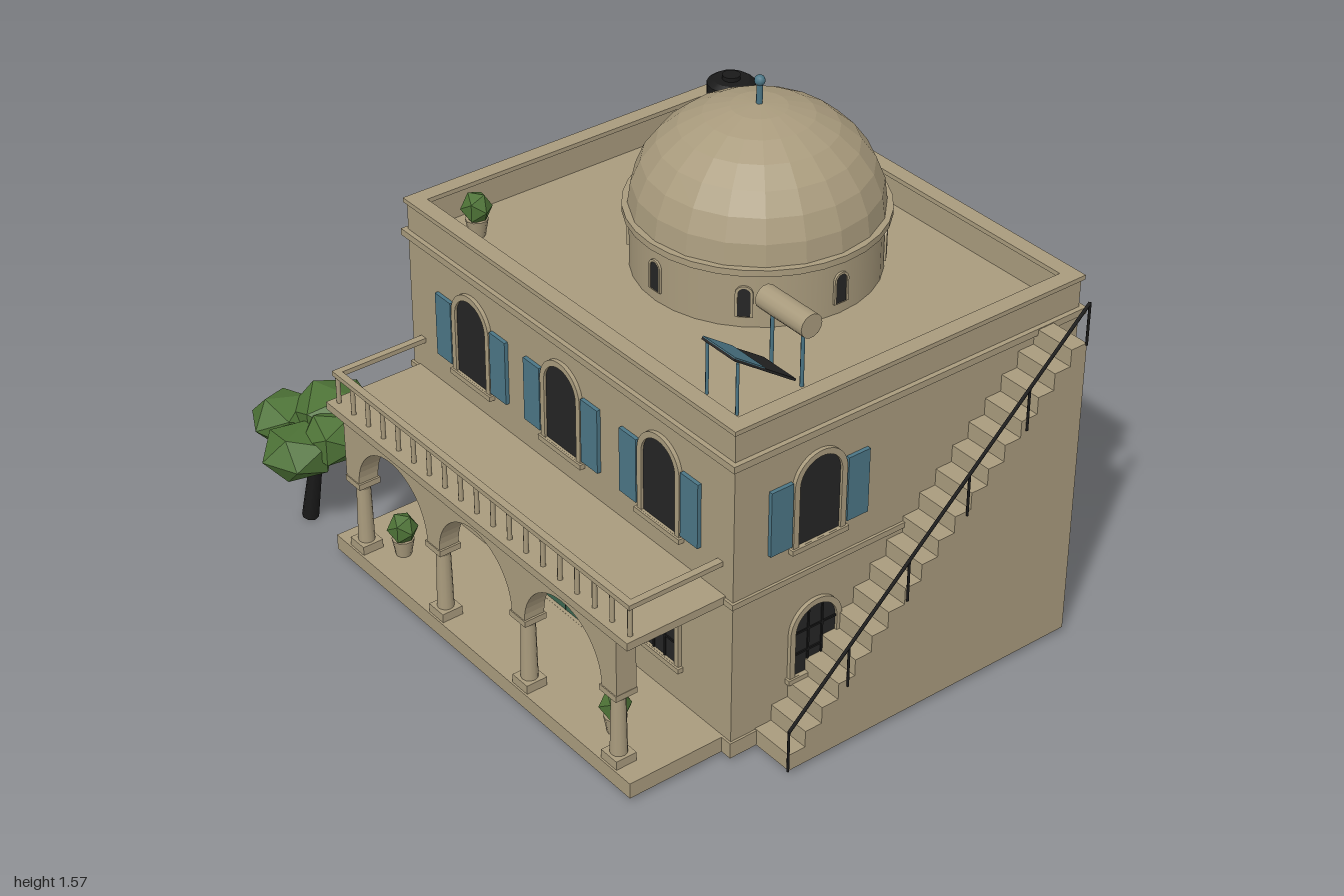
import * as THREE from 'three';

const mat = (name, color) => Object.assign(new THREE.MeshStandardMaterial({ color }), { name });
const stone = mat('sandstone', 0xa99b7d);
const teal = mat('teal paint', 0x4b7686);
const green = mat('door green', 0x3a6650);
const leaf = mat('foliage', 0x4d7236);
const glass = mat('dark glass', 0x252525);
const iron = mat('black iron', 0x191919);

function add(parent, name, geo, material, x = 0, y = 0, z = 0) {
  const m = new THREE.Mesh(geo, material);
  m.name = name;
  m.position.set(x, y, z);
  parent.add(m);
  return m;
}
// box given by its minimum and maximum corners
function box(parent, name, material, x0, x1, y0, y1, z0, z1) {
  return add(parent, name, new THREE.BoxGeometry(x1 - x0, y1 - y0, z1 - z0), material,
    (x0 + x1) / 2, (y0 + y1) / 2, (z0 + z1) / 2);
}
function cyl(parent, name, material, r0, r1, y0, y1, x, z, sides = 12) {
  return add(parent, name, new THREE.CylinderGeometry(r1, r0, y1 - y0, sides), material, x, (y0 + y1) / 2, z);
}
// rod between two points
function rod(parent, name, material, a, b, r0, r1 = r0, sides = 6) {
  const p = new THREE.Vector3(...a), q = new THREE.Vector3(...b);
  const m = add(parent, name, new THREE.CylinderGeometry(r1, r0, p.distanceTo(q), sides), material);
  m.position.copy(p).add(q).multiplyScalar(0.5);
  m.quaternion.setFromUnitVectors(new THREE.Vector3(0, 1, 0), q.sub(p).normalize());
  return m;
}
// round-topped outline standing on y = y0
function archPath(Type, w, h, y0 = 0) {
  const s = new Type(), r = w / 2;
  s.moveTo(-r, y0);
  s.lineTo(r, y0);
  s.lineTo(r, h - r);
  s.absarc(0, h - r, r, 0, Math.PI, false);
  s.lineTo(-r, y0);
  return s;
}
const extrude = (shape, depth) =>
  new THREE.ExtrudeGeometry(shape, { depth, bevelEnabled: false, curveSegments: 12 });

// arched opening: pane, raised surround, optional sill, bars and shutters; faces local +z
function opening(parent, name, x, y, z, turn, w, h, o = {}) {
  const g = new THREE.Group();
  g.name = name;
  g.position.set(x, y, z);
  g.rotation.y = turn;
  parent.add(g);
  const t = o.frame ?? 0.018, d = o.depth ?? 0.012;
  add(g, 'pane', extrude(archPath(THREE.Shape, w, h), 0.004), o.material ?? glass);
  const ring = archPath(THREE.Shape, w + 2 * t, h + t);
  ring.holes.push(archPath(THREE.Path, w, h, 0.0005));
  add(g, 'surround', extrude(ring, d), stone);
  if (o.sill) box(g, 'sill', stone, -w / 2 - 0.025, w / 2 + 0.025, -0.016, 0, 0, 0.018);
  if (o.bars) {
    for (const bx of [-w / 6, w / 6]) box(g, 'bar', iron, bx - 0.003, bx + 0.003, 0, h - 0.012, 0, 0.008);
    for (const f of [0.33, 0.66]) box(g, 'bar', iron, -w / 2, w / 2, h * f - 0.003, h * f + 0.003, 0, 0.008);
  }
  if (o.shutters) for (const s of [-1, 1])
    box(g, 'shutter', teal, s * 0.132 - 0.037, s * 0.132 + 0.037, 0.01, 0.215, 0, 0.012);
  return g;
}

function blob(parent, name, x, y, z, sx, sy, sz, turn = 0) {
  const m = add(parent, name, new THREE.IcosahedronGeometry(1, 0), leaf, x, y, z);
  m.scale.set(sx, sy, sz);
  m.rotation.set(0, turn, 0);
}

function pottedPlant(parent, x, y, z) {
  const g = new THREE.Group();
  g.name = 'pottedPlant';
  g.position.set(x, y, z);
  parent.add(g);
  cyl(g, 'pot', stone, 0.024, 0.034, 0, 0.055, 0, 0, 10);
  blob(g, 'bush', 0, 0.09, 0, 0.047, 0.052, 0.047, 0.6);
}

export function createModel() {
  const house = new THREE.Group();
  house.name = 'house';
  const X0 = -0.635, X1 = 0.84, Z0 = -0.82, Z1 = 0.395, MID = 0.1;
  const band = (name, e, y0, y1) => box(house, name, stone, X0 - e, X1 + e, y0, y1, Z0 - e, Z1 + e);

  // main block with its horizontal bands
  band('walls', 0, 0.01, 0.98);
  band('plinth', 0.007, 0.01, 0.06);
  band('stringCourse', 0.008, 0.512, 0.53);
  band('cornice', 0.015, 0.957, 0.978);

  // hollow parapet and its cap
  const parapet = (name, e, inset, y0, y1) => {
    const rect = (Type, d) => new Type([[X0 - d, -Z1 - d], [X1 + d, -Z1 - d], [X1 + d, -Z0 + d], [X0 - d, -Z0 + d]]
      .map(p => new THREE.Vector2(...p)));
    const s = rect(THREE.Shape, e);
    s.holes.push(rect(THREE.Path, -inset));
    add(house, name, extrude(s, y1 - y0), stone, 0, y0, 0).rotation.x = -Math.PI / 2;
  };
  parapet('parapet', 0, 0.035, 0.978, 1.066);
  parapet('parapetCap', 0.008, 0.042, 1.066, 1.08);

  // windows on all sides
  const low = { sill: true, bars: true }, up = { sill: true, shutters: true };
  const pair = (x, z, turn) => {
    opening(house, 'lowerWindow', x, 0.185, z, turn, 0.145, 0.215, low);
    opening(house, 'upperWindow', x, 0.622, z, turn, 0.145, 0.263, up);
  };
  for (const x of [-0.325, 0.535]) pair(x, Z1, 0);
  opening(house, 'upperWindow', MID, 0.622, Z1, 0, 0.145, 0.263, up);
  for (const x of [-0.305, MID, 0.505]) pair(x, Z0, Math.PI);
  for (const z of [-0.53, 0.11]) pair(X0, z, -Math.PI / 2);
  pair(X1, 0.11, Math.PI / 2);

  // front door and wall lamp
  const door = opening(house, 'door', MID, 0.06, Z1, 0, 0.205, 0.297, { material: green, frame: 0.02, depth: 0.015 });
  add(door, 'knob', new THREE.SphereGeometry(0.006, 8, 6), iron, 0.065, 0.09, 0.007);
  box(door, 'doorSeam', iron, -0.001, 0.001, 0, 0.295, 0, 0.005);
  box(house, 'wallLamp', teal, 0.242, 0.262, 0.345, 0.375, Z1, Z1 + 0.022);

  // porch floor, balcony slab and arcade
  box(house, 'porchFloor', stone, -0.605, 0.81, 0.01, 0.06, Z1, 0.715);
  box(house, 'balconySlab', stone, -0.605, 0.81, 0.51, 0.535, Z1, 0.722);
  const columns = [-0.505, -0.1, 0.305, 0.71];
  const arcade = new THREE.Shape();
  arcade.moveTo(columns[0] - 0.035, 0.31);
  columns.slice(0, 3).forEach((c, i) => {
    const m = (c + columns[i + 1]) / 2, r = 0.173;
    arcade.lineTo(m - r, 0.31);
    arcade.absarc(m, 0.31, r, Math.PI, 0, true);
  });
  arcade.lineTo(columns[3] + 0.035, 0.31);
  arcade.lineTo(columns[3] + 0.035, 0.51);
  arcade.lineTo(columns[0] - 0.035, 0.51);
  add(house, 'arcade', extrude(arcade, 0.066), stone, 0, 0, 0.642);
  for (const x of columns) {
    box(house, 'columnBase', stone, x - 0.034, x + 0.034, 0.06, 0.088, 0.641, 0.709);
    cyl(house, 'columnShaft', stone, 0.025, 0.021, 0.088, 0.285, x, 0.675);
    cyl(house, 'columnNeck', stone, 0.022, 0.032, 0.275, 0.295, x, 0.675);
    box(house, 'columnCapital', stone, x - 0.036, x + 0.036, 0.293, 0.312, 0.639, 0.711);
  }

  // balcony railing
  box(house, 'frontRail', stone, -0.592, 0.797, 0.625, 0.64, 0.682, 0.704);
  for (const x of [-0.581, 0.786]) box(house, 'sideRail', stone, x - 0.011, x + 0.011, 0.625, 0.64, Z1, 0.69);
  for (let i = 0; i < 19; i++)
    cyl(house, 'baluster', stone, 0.008, 0.008, 0.535, 0.626, -0.581 + i * 1.367 / 18, 0.693, 6);

  // outside stair, solid to the ground
  const N = 18, run = 1.02 / N, rise = 0.965 / N;
  for (let i = 0; i < N; i++)
    box(house, 'stairStep', stone, X1, 0.983, 0.01, 0.01 + rise * (i + 1), 0.31 - run * (i + 1), 0.31 - run * i);
  rod(house, 'stairHandrail', iron, [0.984, 0.145, 0.313], [0.984, 1.105, -0.708], 0.005);
  for (let i = 0; i < 6; i++) {
    const z = 0.313 - i * 0.2042, top = 0.145 + i * 0.192;
    rod(house, 'stairPost', iron, [0.984, Math.max(0.01, top - 0.135), z], [0.984, top, z], 0.004);
  }

  // dome on a drum with eight small windows
  const dx = 0.105, dz = -0.28;
  cyl(house, 'drum', stone, 0.358, 0.358, 0.98, 1.16, dx, dz, 32);
  cyl(house, 'drumRing', stone, 0.378, 0.378, 1.152, 1.172, dx, dz, 32);
  const shell = new THREE.SphereGeometry(0.362, 20, 7, 0, Math.PI * 2, 0, Math.PI / 2).toNonIndexed();
  shell.scale(1, 0.31 / 0.362, 1);
  shell.computeVertexNormals();
  add(house, 'dome', shell, stone, dx, 1.168, dz);
  for (let i = 0; i < 8; i++) {
    const a = i * Math.PI / 4;
    opening(house, 'drumWindow', dx + Math.sin(a) * 0.357, 1.015, dz + Math.cos(a) * 0.357, a, 0.036, 0.09,
      { frame: 0.007, depth: 0.007 });
  }
  cyl(house, 'finial', teal, 0.009, 0.009, 1.47, 1.545, dx, dz, 8);
  add(house, 'finialKnob', new THREE.SphereGeometry(0.016, 10, 8), teal, dx, 1.547, dz);

  // roof water tanks
  for (const [x, z] of [[-0.465, -0.65], [-0.305, -0.675]]) {
    cyl(house, 'waterTank', iron, 0.073, 0.073, 0.98, 1.18, x, z, 16);
    for (const y of [1.03, 1.1]) cyl(house, 'tankRib', iron, 0.076, 0.076, y, y + 0.012, x, z, 16);
    cyl(house, 'tankShoulder', iron, 0.073, 0.055, 1.18, 1.192, x, z, 16);
    cyl(house, 'tankLid', iron, 0.028, 0.028, 1.19, 1.205, x, z, 12);
  }

  // solar water heater: drum on legs with a sloping panel
  rod(house, 'heaterDrum', stone, [0.52, 1.183, 0.035], [0.708, 1.183, 0.035], 0.036, 0.036, 14);
  for (const x of [0.55, 0.675]) {
    rod(house, 'heaterLeg', teal, [x, 0.98, 0.035], [x, 1.16, 0.035], 0.006);
    rod(house, 'panelLeg', teal, [x, 0.98, 0.255], [x, 1.14, 0.255], 0.005);
  }
  const panel = new THREE.Group();
  panel.name = 'solarPanel';
  panel.position.set(0.613, 1.085, 0.165);
  panel.rotation.x = -0.61;
  house.add(panel);
  box(panel, 'panelBack', glass, -0.067, 0.067, -0.004, 0.003, -0.128, 0.128);
  box(panel, 'panelFace', teal, -0.067, 0.067, 0.003, 0.006, 0.005, 0.128);

  // air conditioner on the back wall
  box(house, 'airConditioner', stone, -0.555, -0.45, 0.68, 0.75, -0.858, Z0);
  const fan = add(house, 'fanGrille', new THREE.CylinderGeometry(0.025, 0.025, 0.004, 14), glass, -0.505, 0.715, -0.859);
  fan.rotation.x = Math.PI / 2;

  // plants and tree
  pottedPlant(house, -0.41, 0.06, 0.61);
  pottedPlant(house, 0.61, 0.06, 0.61);
  pottedPlant(house, -0.485, 0.98, 0.26);
  rod(house, 'treeTrunk', iron, [-0.81, 0, 0.68], [-0.765, 0.3, 0.66], 0.026, 0.017, 8);
  blob(house, 'treeCrown', -0.79, 0.35, 0.59, 0.135, 0.095, 0.135, 0.3);
  blob(house, 'treeCrown', -0.89, 0.315, 0.69, 0.115, 0.085, 0.11, 1.1);
  blob(house, 'treeCrown', -0.74, 0.30, 0.745, 0.12, 0.085, 0.115, 2.0);
  blob(house, 'treeCrown', -0.695, 0.335, 0.655, 0.1, 0.085, 0.1, 0.8);
  return house;
}
